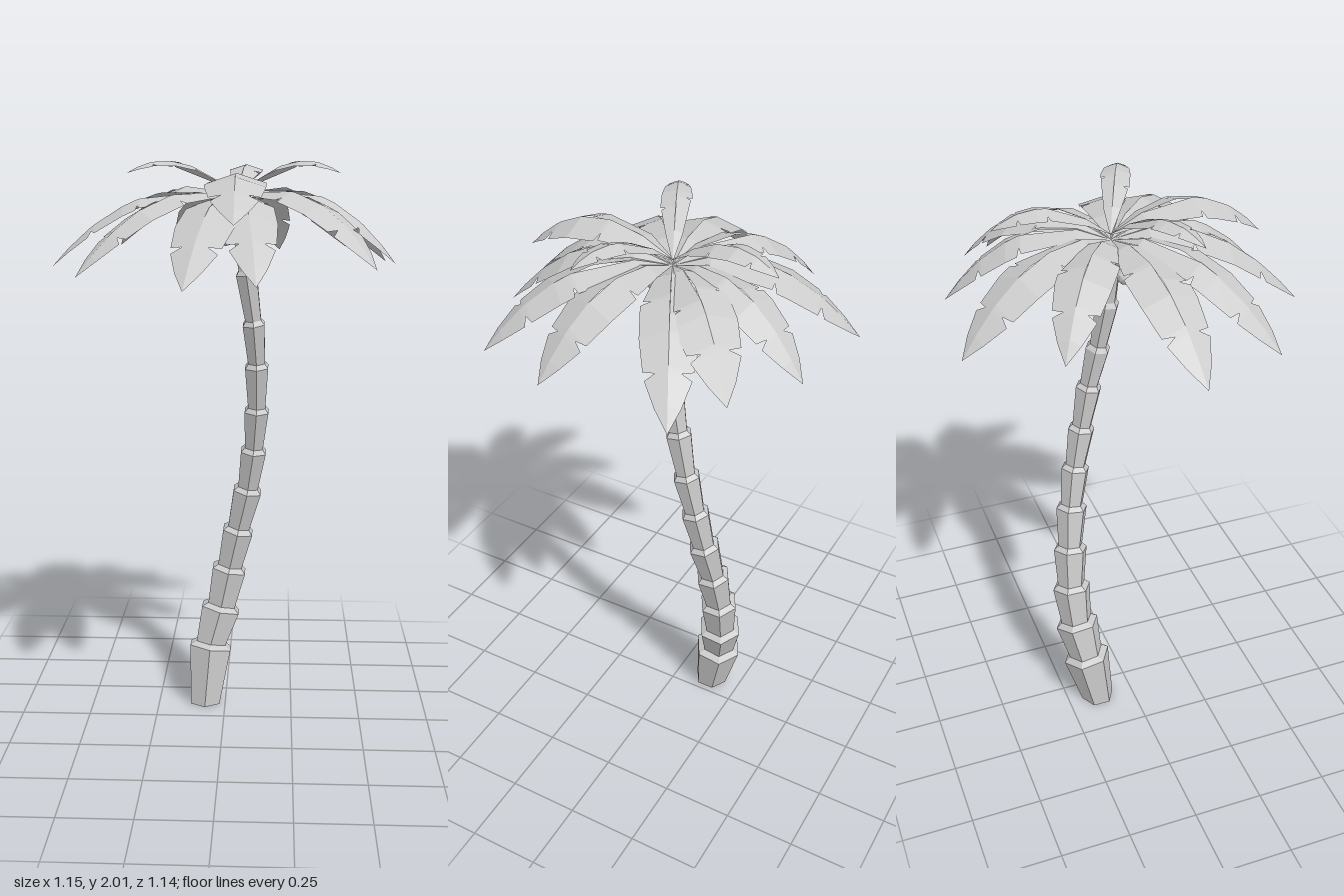
import * as THREE from 'three';

const material = new THREE.MeshStandardMaterial({ color: 0xcccccc, flatShading: true });
const leafMaterial = new THREE.MeshStandardMaterial({ color: 0xcccccc, flatShading: true, side: THREE.DoubleSide });
const UP = new THREE.Vector3(0, 1, 0);

function geometryFrom(positions, index) {
  const g = new THREE.BufferGeometry();
  g.setAttribute('position', new THREE.Float32BufferAttribute(positions, 3));
  g.setIndex(index);
  const flat = g.toNonIndexed();
  flat.computeVertexNormals();
  return flat;
}

function addMesh(parent, name, geometry, mat = material) {
  const mesh = new THREE.Mesh(geometry, mat);
  mesh.name = name;
  parent.add(mesh);
  return mesh;
}

// Ridge centres up the trunk with their radius: x, y, z, radius
const RIDGES = [
  [-0.075, 0, -0.135, 0.062], [-0.057, 0.21, -0.17, 0.088], [-0.02, 0.355, -0.193, 0.081],
  [0.012, 0.51, -0.2, 0.071], [0.045, 0.665, -0.19, 0.063], [0.08, 0.825, -0.17, 0.058],
  [0.102, 0.98, -0.145, 0.052], [0.113, 1.135, -0.115, 0.049], [0.113, 1.3, -0.085, 0.047],
  [0.102, 1.455, -0.053, 0.044], [0.077, 1.63, -0.027, 0.041], [0.05, 1.86, -0.015, 0.036],
];

// Six-sided trunk: every segment flares to a ridge, then steps in to the next
function trunkGeometry() {
  const sides = 6, positions = [], index = [];
  const centres = RIDGES.map(([x, y, z]) => new THREE.Vector3(x, y, z));
  let rings = 0;
  const addRing = (centre, axis, radius) => {
    const turn = new THREE.Quaternion().setFromUnitVectors(UP, axis);
    for (let i = 0; i < sides; i++) {
      const a = (i / sides) * Math.PI * 2;
      const p = new THREE.Vector3(Math.sin(a) * radius, 0, Math.cos(a) * radius);
      positions.push(...p.applyQuaternion(turn).add(centre).toArray());
    }
    rings++;
  };
  centres.forEach((c, k) => {
    const below = centres[Math.max(k - 1, 0)], above = centres[Math.min(k + 1, centres.length - 1)];
    const axis = k === 0 ? UP : above.clone().sub(below).normalize();
    const r = RIDGES[k][3];
    addRing(c, axis, r);
    if (k > 0 && k < centres.length - 1) addRing(c.clone().addScaledVector(axis, 0.016), axis, r * 0.72);
  });
  for (let k = 0; k < rings - 1; k++) {
    for (let i = 0; i < sides; i++) {
      const a = k * sides + i, b = k * sides + ((i + 1) % sides);
      index.push(a, b, b + sides, a, b + sides, a + sides);
    }
  }
  const last = (rings - 1) * sides;
  for (let i = 1; i < sides - 1; i++) index.push(0, i + 1, i, last, last + i, last + i + 1);
  return geometryFrom(positions, index);
}

// Edge outline of one leaf half: distance along the leaf, share of the half width
const outline = (slit) => [
  [0, 0.06], [0.2, 0.55], [slit - 0.012, 0.9], [slit, 0.6], [slit + 0.012, 0.98], [0.62, 0.97],
  [0.768, 0.82], [0.785, 0.42], [0.803, 0.76], [0.91, 0.42], [1, 0],
];

// Arched leaf, folded along its midrib, with slits cut into both edges
function frondGeometry([tipX, tipY, tipZ, width, rootY, lift, bend], flip) {
  const root = new THREE.Vector3(0.045, rootY, -0.025);
  const tip = new THREE.Vector3(tipX, tipY, tipZ);
  const rib = new THREE.CubicBezierCurve3(
    root,
    root.clone().lerp(tip, 1 / 3).setY(lift),
    root.clone().lerp(tip, 2 / 3).setY(bend),
    tip,
  );
  const across = new THREE.Vector3().subVectors(tip, root).setY(0).normalize().cross(UP);
  const positions = [], index = [];
  for (const side of [-1, 1]) {
    const start = positions.length / 3;
    const rows = outline(side * flip > 0 ? 0.42 : 0.54);
    rows.forEach(([t, share], k) => {
      const half = (share * width) / 2;
      const p = rib.getPoint(t);
      const edge = p.clone().addScaledVector(across, side * half);
      edge.y -= half * 0.32;
      positions.push(...p.toArray(), ...edge.toArray());
      if (k === rows.length - 1) return;
      const a = start + k * 2;
      if (side > 0) index.push(a, a + 1, a + 3, a, a + 3, a + 2);
      else index.push(a, a + 3, a + 1, a, a + 2, a + 3);
    });
  }
  return geometryFrom(positions, index);
}

export function createModel() {
  const palm = new THREE.Group();
  palm.name = 'palmTree';

  addMesh(palm, 'trunk', trunkGeometry());

  // Lower drooping fronds: tip x, y, z, width
  const crown = new THREE.Group();
  crown.name = 'crown';
  palm.add(crown);
  const lower = [
    [-0.17, 1.66, -0.575, 0.2], [0.19, 1.68, -0.54, 0.18], [0.435, 1.7, -0.415, 0.2],
    [0.575, 1.655, -0.3, 0.18], [0.57, 1.68, 0.135, 0.19], [0.49, 1.68, 0.385, 0.18],
    [0.12, 1.64, 0.54, 0.19], [-0.1, 1.63, 0.57, 0.2], [-0.455, 1.65, 0.345, 0.18],
    [-0.58, 1.66, 0.05, 0.19], [-0.39, 1.71, -0.32, 0.18],
  ];
  lower.forEach((f, i) => {
    const spec = [...f, 1.87, 1.96, f[1] + 0.245];
    addMesh(crown, 'lowerFrond', frondGeometry(spec, i % 2 ? 1 : -1), leafMaterial);
  });

  // Upper fronds: tip x, y, z, width, root height, lift, bend
  const upper = [
    [0.05, 1.82, 0.495, 0.2, 1.89, 2.0, 2.02], [0.085, 1.94, -0.4, 0.12, 1.89, 2.0, 2.04],
    [-0.31, 1.97, 0.145, 0.1, 1.89, 2.0, 2.05], [0.385, 1.97, 0.125, 0.1, 1.89, 2.0, 2.05],
  ];
  upper.forEach((f, i) => addMesh(crown, 'upperFrond', frondGeometry(f, i % 2 ? 1 : -1), leafMaterial));

  // Two bunches of round fruit hanging under the crown
  const fruit = new THREE.IcosahedronGeometry(0.028, 1);
  const bunches = [[0.02, 1.78, 0.025], [0.045, 1.78, -0.06]];
  const offsets = [[0, 0, 0], [-0.03, 0.02, 0.012], [0.028, 0.018, 0.01], [0.004, 0.03, -0.025], [-0.014, -0.024, -0.016]];
  for (const [x, y, z] of bunches) {
    for (const [dx, dy, dz] of offsets) addMesh(palm, 'coconut', fruit).position.set(x + dx, y + dy, z + dz);
  }

  return palm;
}
